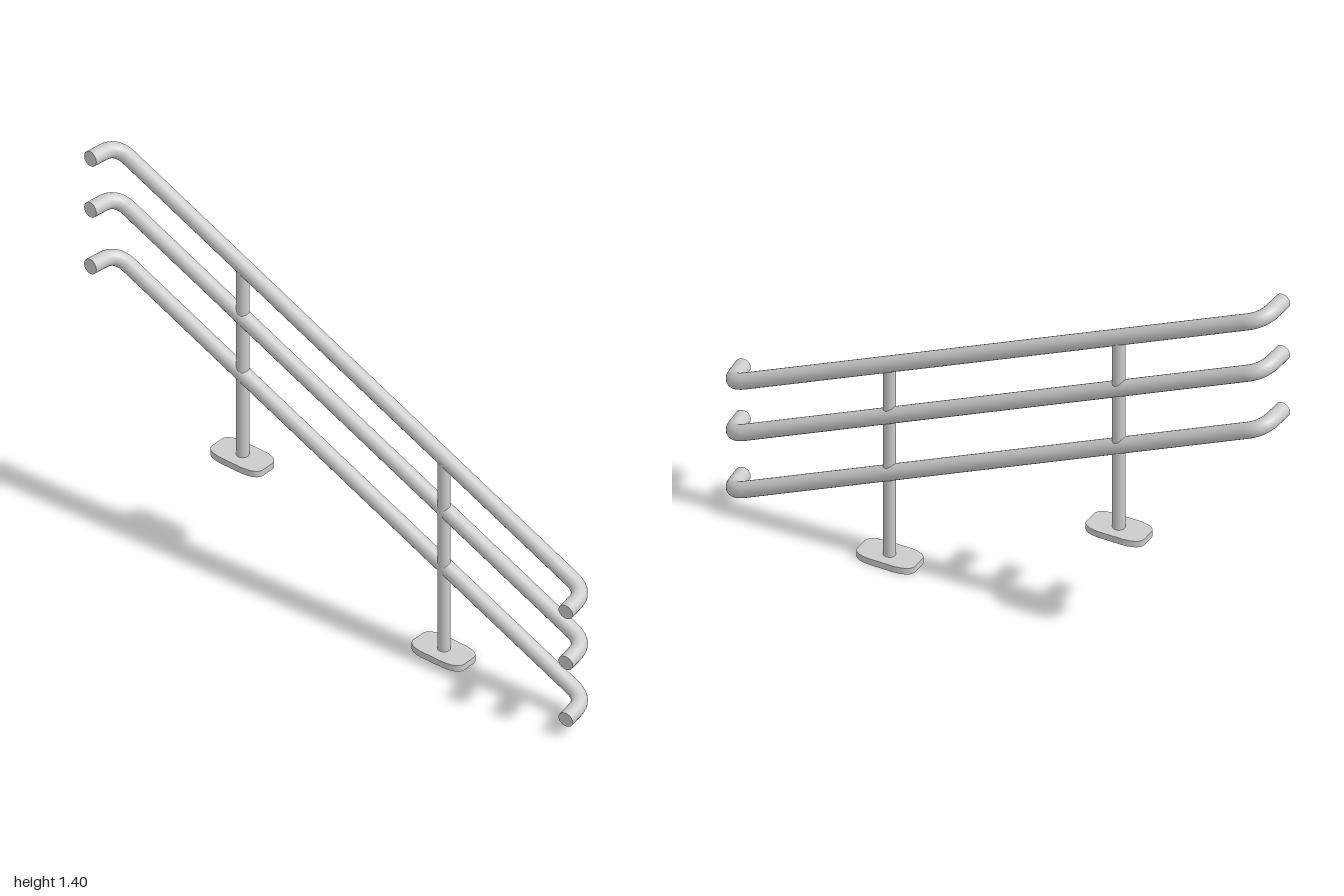
import * as THREE from 'three';

const RAIL_R = 0.027, POST_R = 0.021, PLATE_H = 0.023, BEND = 0.06;
const steel = new THREE.MeshStandardMaterial({ color: 0xcccccc });

function addMesh(parent, geometry, name) {
  const mesh = new THREE.Mesh(geometry, steel);
  mesh.name = name;
  parent.add(mesh);
  return mesh;
}

// Rail centre line: straight runs joined by rounded bends
function railPath() {
  const pts = [
    [-0.075, 0.487, 0.971], [0.04, 0.497, 0.956],
    [0.027, 1.37, -0.964], [-0.09, 1.376, -0.973],
  ].map((p) => new THREE.Vector3(...p));
  const path = new THREE.CurvePath();
  let from = pts[0];
  for (let i = 1; i < pts.length - 1; i++) {
    const toward = (q) => pts[i].clone().add(q.clone().sub(pts[i]).setLength(BEND));
    const a = toward(pts[i - 1]), b = toward(pts[i + 1]);
    path.add(new THREE.LineCurve3(from, a));
    path.add(new THREE.QuadraticBezierCurve3(a, pts[i], b));
    from = b;
  }
  path.add(new THREE.LineCurve3(from, pts[pts.length - 1]));
  return path;
}

// Rail with flat end caps
function makeRail(name, drop) {
  const rail = new THREE.Group();
  rail.name = name;
  const path = railPath();
  addMesh(rail, new THREE.TubeGeometry(path, 200, RAIL_R, 20), 'railTube');
  for (const t of [0, 1]) {
    const cap = addMesh(rail, new THREE.CircleGeometry(RAIL_R, 20), 'railEndCap');
    const out = path.getTangentAt(t).multiplyScalar(t ? 1 : -1);
    cap.position.copy(path.getPointAt(t));
    cap.quaternion.setFromUnitVectors(new THREE.Vector3(0, 0, 1), out);
  }
  rail.position.y = -drop;
  return rail;
}

// Long foot plate with softly rounded corners
function plateGeometry() {
  const w = 0.058, h = 0.105, sw = 0.025, sh = 0.045;
  const s = new THREE.Shape();
  s.moveTo(w, -sh);
  s.lineTo(w, sh);
  s.quadraticCurveTo(w - 0.004, h - 0.004, sw, h);
  s.lineTo(-sw, h);
  s.quadraticCurveTo(-w + 0.004, h - 0.004, -w, sh);
  s.lineTo(-w, -sh);
  s.quadraticCurveTo(-w + 0.004, -h + 0.004, -sw, -h);
  s.lineTo(sw, -h);
  s.quadraticCurveTo(w - 0.004, -h + 0.004, w, -sh);
  const g = new THREE.ExtrudeGeometry(s, { depth: PLATE_H, bevelEnabled: false, curveSegments: 8 });
  return g.rotateX(-Math.PI / 2);
}

// Upright post standing on its foot plate
function makePost(name, z, bottom, top) {
  const post = new THREE.Group();
  post.name = name;
  const height = top - bottom;
  addMesh(post, new THREE.CylinderGeometry(POST_R, POST_R, height, 20), 'postTube').position.y = height / 2;
  addMesh(post, plateGeometry(), 'footPlate').position.x = -0.002;
  post.position.set(0.03, bottom, z);
  return post;
}

export function createModel() {
  const model = new THREE.Group();
  model.name = 'stairHandrail';
  model.add(
    makeRail('topRail', 0),
    makeRail('middleRail', 0.198),
    makeRail('bottomRail', 0.418),
    makePost('frontPost', 0.383, 0, 0.75),
    makePost('backPost', -0.445, 0.38, 1.127),
  );
  return model;
}
